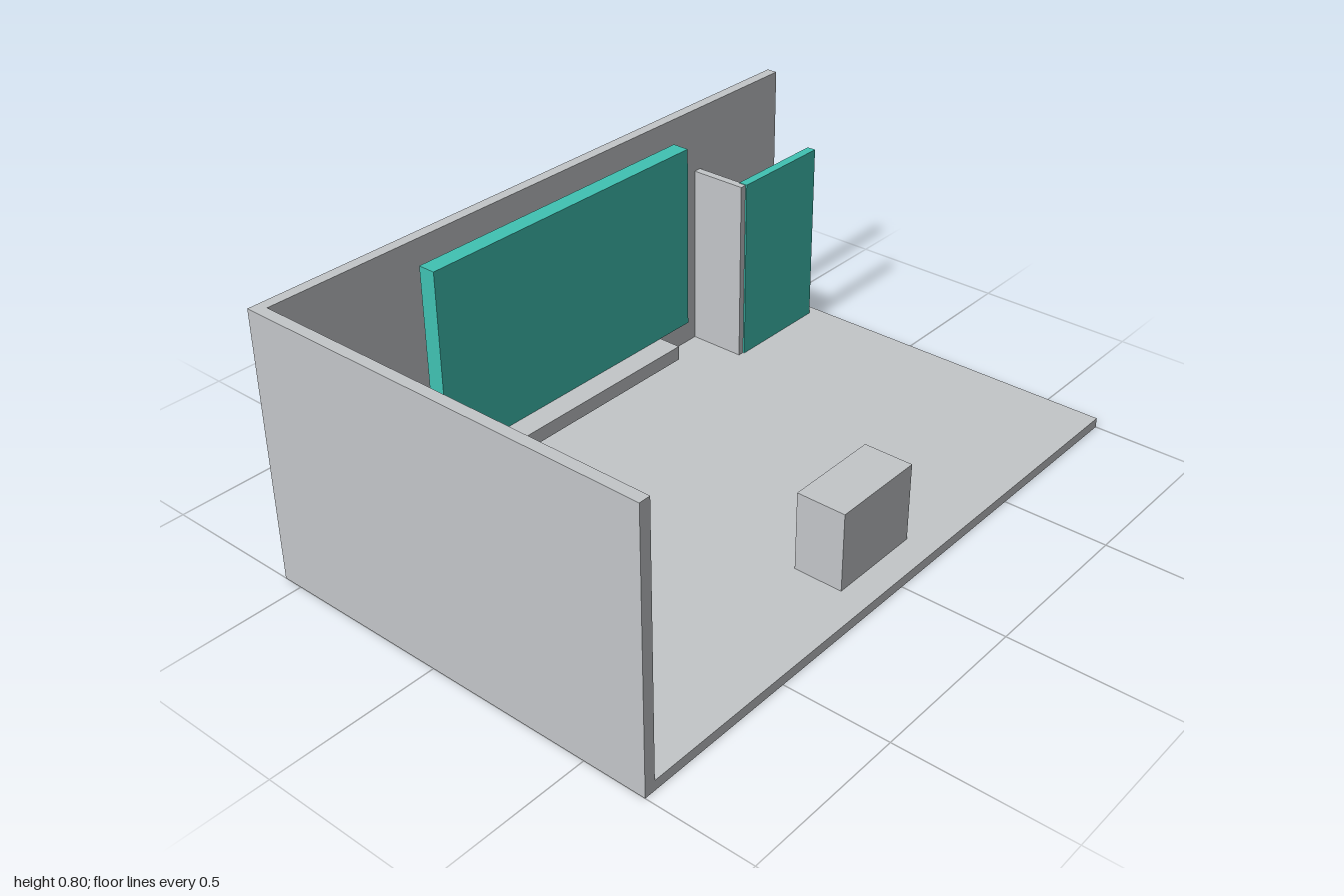
import * as THREE from 'three';

export function createModel() {
  const room = new THREE.Group();
  room.name = 'room';
  const grey = new THREE.MeshStandardMaterial({ name: 'light grey', color: 0xc3c6c9 });
  const teal = new THREE.MeshStandardMaterial({ name: 'teal', color: 0x40c2b3 });

  // Box given by its extents along each axis
  function block(name, material, [x0, x1], [y0, y1], [z0, z1]) {
    const mesh = new THREE.Mesh(new THREE.BoxGeometry(x1 - x0, y1 - y0, z1 - z0), material);
    mesh.position.set((x0 + x1) / 2, (y0 + y1) / 2, (z0 + z1) / 2);
    mesh.name = name;
    room.add(mesh);
  }

  // Shell: floor and two walls
  block('floor', grey, [-1, 1], [0, 0.03], [-0.527, 0.687]);
  block('backWall', grey, [-1, 1], [0, 0.8], [-0.56, -0.527]);
  block('sideWall', grey, [-1, -0.967], [0.03, 0.8], [-0.527, 0.687]);

  // Wall screen with the shelf below it
  block('screen', teal, [-0.5, 0.5], [0.152, 0.73], [-0.514, -0.461]);
  block('shelf', grey, [-0.373, 0.373], [0.105, 0.15], [-0.527, -0.39]);

  // Partition running through the back wall, and the door panel beside it
  block('partition', grey, [0.61, 0.635], [0.001, 0.602], [-0.687, -0.348]);
  block('door', teal, [0.63, 0.965], [0.001, 0.604], [-0.371, -0.343]);

  // Low cabinet on the floor
  block('cabinet', grey, [-0.148, 0.146], [0.03, 0.268], [0.451, 0.6]);

  return room;
}
